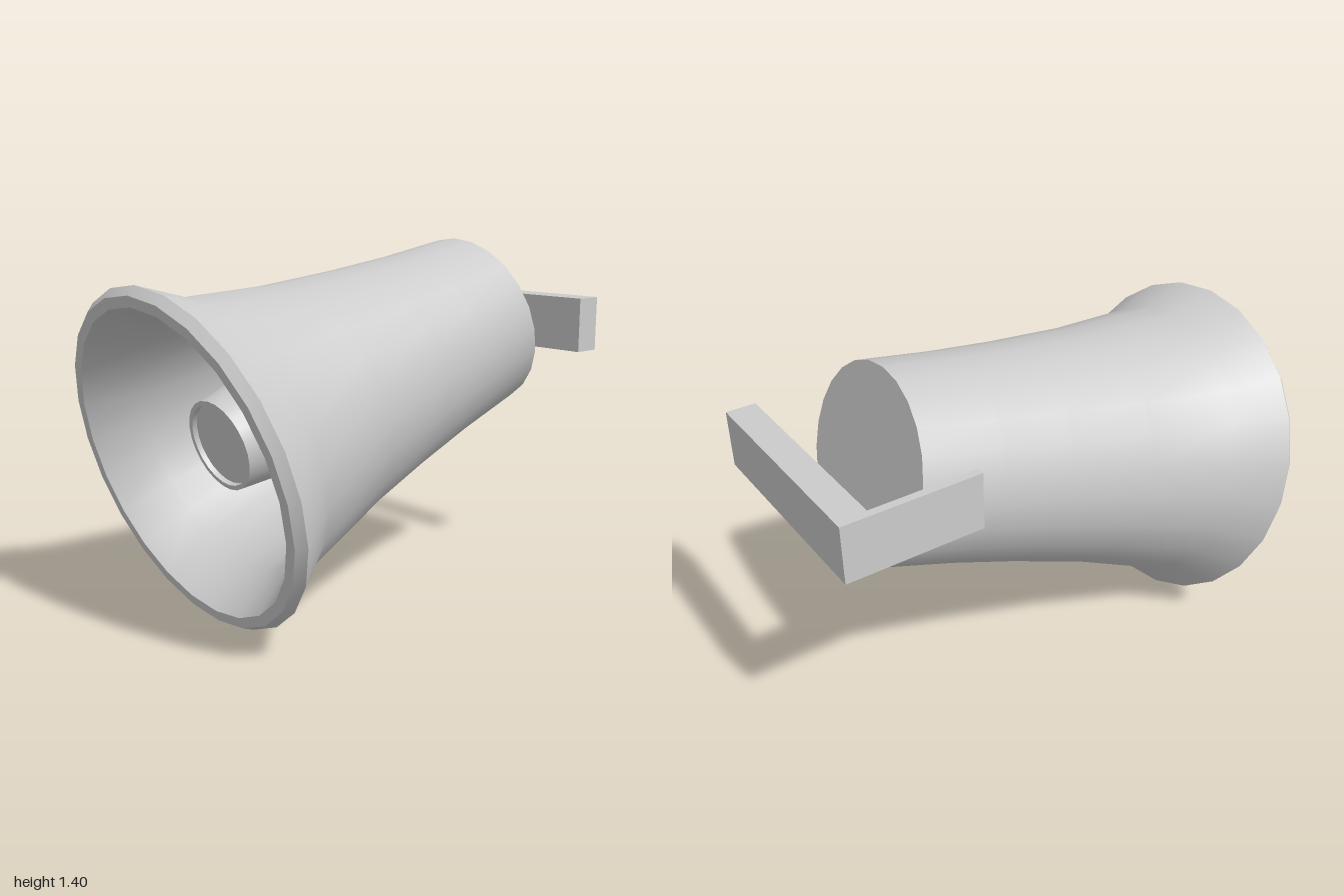
import * as THREE from 'three';
import { toCreasedNormals } from 'three/addons/utils/BufferGeometryUtils.js';

const material = new THREE.MeshStandardMaterial({ color: 0xcccccc });

function addMesh(parent, name, geometry, x = 0, y = 0, z = 0) {
  const mesh = new THREE.Mesh(geometry, material);
  mesh.name = name;
  mesh.position.set(x, y, z);
  parent.add(mesh);
}

// Profile of [radius, distance from the back], turned with 24 sides
function turned(profile) {
  const points = profile.map(([r, d]) => new THREE.Vector2(r, d));
  return toCreasedNormals(new THREE.LatheGeometry(points, 24), 0.6);
}

export function createModel() {
  const model = new THREE.Group();

  // Horn assembly, tipped 15 degrees downwards at the front
  const horn = new THREE.Group();
  horn.name = 'horn';
  horn.position.set(0, 1.04, -0.675);
  horn.rotation.x = THREE.MathUtils.degToRad(105);
  model.add(horn);

  // Outer shell, lip and inner wall
  addMesh(horn, 'bell', turned([
    [0, 0], [0.372, 0], [0.398, 0.32], [0.43, 0.6], [0.48, 0.95], [0.56, 1.34],
    [0.667, 1.527], [0.642, 1.563], [0.6, 1.563],
    [0.5, 1.37], [0.44, 0.95], [0.395, 0.6], [0.355, 0.04], [0, 0.04],
  ]));

  // Tapered driver inside the bell with a slightly recessed end
  addMesh(horn, 'innerCone', turned([
    [0.355, 0.05], [0.178, 1.37], [0.16, 1.37], [0.158, 1.35], [0, 1.35],
  ]));

  // L-shaped mounting bracket
  const bracket = new THREE.Group();
  bracket.name = 'bracket';
  model.add(bracket);
  addMesh(bracket, 'backPlate', new THREE.BoxGeometry(0.88, 0.225, 0.115), 0, 1.043, -0.9425);
  addMesh(bracket, 'sideArm', new THREE.BoxGeometry(0.032, 0.225, 0.42), -0.424, 1.043, -0.675);

  return model;
}
